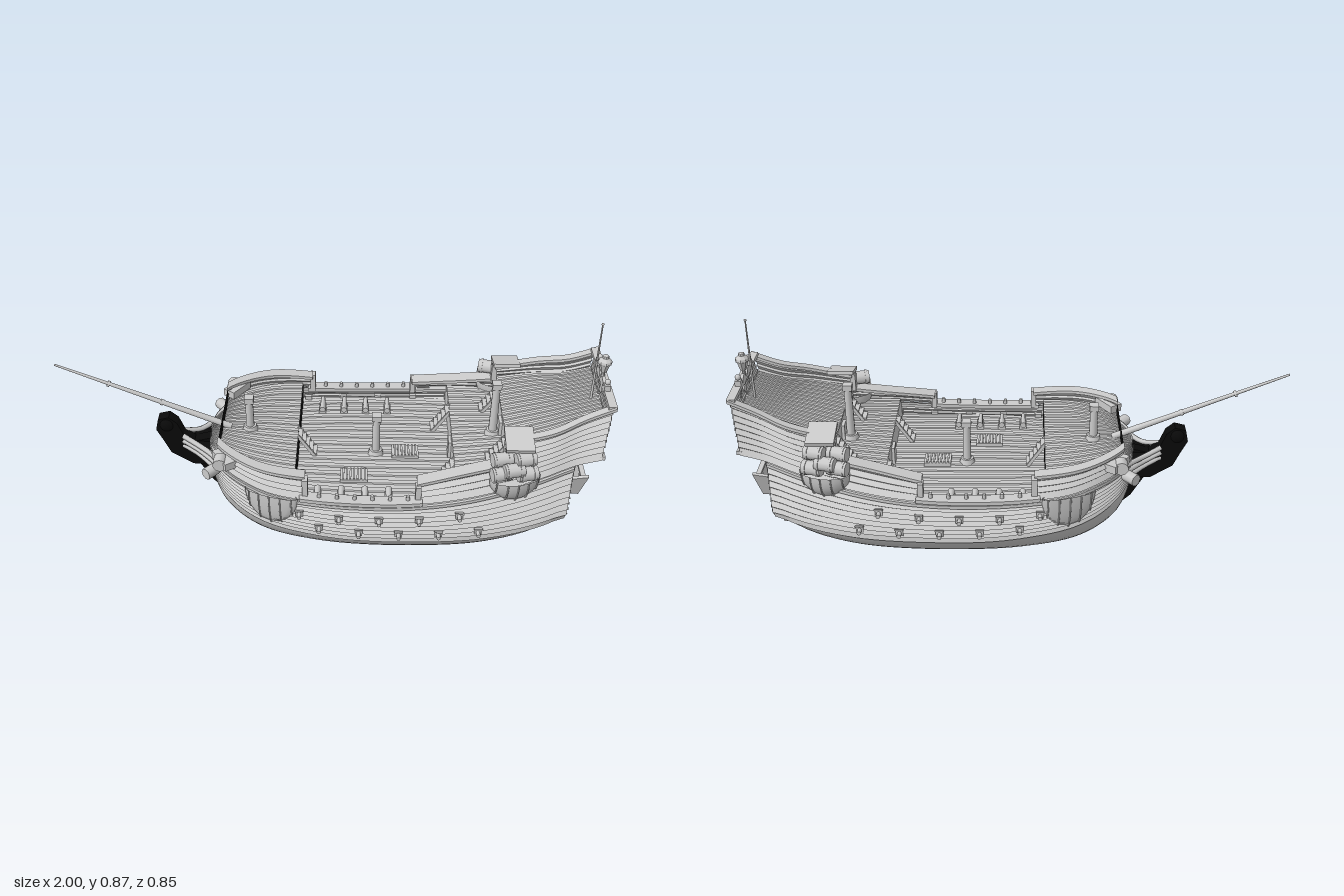
import * as THREE from 'three';
import { toCreasedNormals } from 'three/addons/utils/BufferGeometryUtils.js';

// Hull stations: x, keel height, height of widest point, half breadth, sheer height
const ST = [
  [-.45, .27, .34, .015, .385], [-.44, .22, .33, .09, .385], [-.42, .16, .32, .15, .38], [-.38, .105, .30, .215, .375],
  [-.3, .06, .27, .285, .365], [-.2, .035, .25, .335, .35], [-.05, .022, .235, .37, .34], [.1, .02, .225, .385, .335],
  [.3, .02, .225, .388, .34], [.5, .03, .23, .378, .36], [.65, .055, .24, .354, .38], [.75, .09, .25, .328, .40],
  [.85, .145, .26, .292, .42], [.97, .15, .26, .29, .45]];
const lerp = THREE.MathUtils.lerp, smooth = THREE.MathUtils.smoothstep;

// Smooth interpolation of one station column
function col(c, x) {
  let i = 0;
  while (i < ST.length - 2 && x > ST[i + 1][0]) i++;
  const a = ST[i], b = ST[i + 1], h = b[0] - a[0], t = THREE.MathUtils.clamp((x - a[0]) / h, 0, 1);
  const slope = k => { const p = ST[Math.max(0, k - 1)], q = ST[Math.min(ST.length - 1, k + 1)]; return (q[c] - p[c]) / (q[0] - p[0]); };
  const t2 = t * t, t3 = t2 * t;
  return (2 * t3 - 3 * t2 + 1) * a[c] + (t3 - 2 * t2 + t) * h * slope(i) + (3 * t2 - 2 * t3) * b[c] + (t3 - t2) * h * slope(i + 1);
}
const sheer = x => col(4, x);
// Half breadth at a point of the side, with tumblehome above the widest line
function half(x, y) {
  const yb = col(1, x), ym = col(2, x), B = col(3, x);
  if (y < ym) return B * Math.sqrt(Math.max(0, 1 - ((ym - y) / (ym - yb)) ** 2));
  const d = y - ym, k = lerp(.6, 2.1, smooth(x, -.3, .1));
  return Math.max(.005, B - lerp(k * d * d, Math.min(.4 * d, .037 + .17 * d), smooth(x, .4, .8)));
}
const rake = (x, y) => x + smooth(x, .6, .85) * .1 * (y - .25);
const P = (x, y, s, off = 0) => [rake(x, y), y, s * (half(x, y) + off)];

// Surface from a rule on a grid, with creased normals
function surf(nu, nv, fn) {
  const pos = [], idx = [];
  for (let i = 0; i <= nu; i++) for (let j = 0; j <= nv; j++) pos.push(...fn(i / nu, j));
  for (let i = 0; i < nu; i++) for (let j = 0; j < nv; j++) {
    const a = i * (nv + 1) + j, b = a + nv + 1;
    idx.push(a, b, a + 1, b, b + 1, a + 1);
  }
  const g = new THREE.BufferGeometry();
  g.setAttribute('position', new THREE.Float32BufferAttribute(pos, 3));
  g.setIndex(idx);
  return toCreasedNormals(g, .5);
}

export function createModel() {
  const ship = new THREE.Group();
  const grey = new THREE.MeshStandardMaterial({ color: 0xcccccc, side: THREE.DoubleSide });
  const black = new THREE.MeshStandardMaterial({ color: 0x0a0a0a, side: THREE.DoubleSide });
  const add = (geo, name, p = [0, 0, 0], r = [0, 0, 0], mat = grey) => {
    const m = new THREE.Mesh(geo, mat);
    m.name = name; m.position.set(...p); m.rotation.set(...r); ship.add(m);
    return m;
  };
  const box = (name, w, h, d, p, r, mat) => add(new THREE.BoxGeometry(w, h, d), name, p, r, mat);
  const cyl = (name, r0, r1, h, p, r, n = 10) => add(new THREE.CylinderGeometry(r0, r1, h, n), name, p, r);
  const tube = (name, pts, r) => add(new THREE.TubeGeometry(
    new THREE.CatmullRomCurve3(pts.map(p => new THREE.Vector3(...p))), 24, r, 6), name);
  const slab = (name, pts, depth, mat) => {
    const s = new THREE.Shape(pts.map(p => new THREE.Vector2(...p)));
    return add(new THREE.ExtrudeGeometry(s, { depth, bevelEnabled: false }).translate(0, 0, -depth / 2), name, undefined, undefined, mat);
  };
  // Lapped planking between two height lines of the side, with bevelled lower edges
  const planks = (name, x0, x1, lo, hi, n, s) => add(surf(56, 2 * n - 1, (u, j) => {
    const x = lerp(x0, x1, x0 < -.4 ? u ** 1.7 : u), v = (Math.ceil(j / 2) + (j % 2 || !j ? 0 : .28)) / n;
    return P(x, lerp(lo(x), hi(x), j % 2 ? v : Math.min(v, 1)), s, j % 2 ? 0 : .009);
  }), name);
  // Square moulding following the side
  const rail = (name, x0, x1, yf, w, h, s) => add(surf(40, 4, (u, j) => {
    const x = lerp(x0, x1, u), p = P(x, yf(x), s);
    return [p[0], p[1] + (j % 4 < 2 ? -h : h) / 2, p[2] + (j === 1 || j === 2 ? w : -w) / 2];
  }), name);
  // Deck of boards lying at alternating heights
  const deck = (name, x0, x1, yf) => add(surf(24, 63, (u, j) => {
    const x = lerp(x0, x1, u), k = (Math.ceil(j / 2) + (j % 2 || !j ? 0 : .15)) / 32.15;
    return [rake(x, yf(x)), yf(x) + (Math.floor(j / 2) % 2 ? .004 : 0), (2 * k - 1) * (half(x, yf(x)) - .004)];
  }), name);
  const bulkhead = (name, x, y0, y1, mat) => add(surf(8, 1, (u, j) => {
    const y = lerp(y0, y1, u); return [rake(x, y), y, (j ? 1 : -1) * (half(x, y) - .003)];
  }), name, undefined, undefined, mat);

  const foreTop = x => lerp(.455, .42, (x + .4) / .32), quarterTop = x => lerp(.405, .46, (x - .31) / .31);
  const poopTop = x => .53 + .105 * (Math.max(0, x - .62) / .32) ** 1.4;
  const wl = x => col(2, x) - .04;

  for (const s of [1, -1]) {
    // Hull shell
    add(surf(60, 12, (u, j) => {
      const x = lerp(-.45, .85, u ** 1.7), yb = col(1, x), y = yb + (wl(x) - yb) * (1 - Math.cos(j / 12 * Math.PI / 2));
      return P(x, y, s);
    }), 'bottom');
    planks('sidePlanking', -.45, .85, wl, sheer, 9, s);
    planks('forecastleBulwark', -.4, -.08, sheer, foreTop, 4, s);
    planks('quarterBulwark', .31, .62, sheer, quarterTop, 4, s);
    planks('poopSide', .62, .94, sheer, poopTop, 8, s);
    // Rails
    rail('forecastleRail', -.4, -.08, foreTop, .045, .012, s);
    rail('quarterRail', .31, .62, quarterTop, .055, .012, s);
    rail('poopRail', .62, .95, poopTop, .032, .012, s);
    rail('waistRail', -.1, .33, x => sheer(x) + .006, .048, .014, s);
    rail('wale', -.44, .85, x => sheer(x) - .012, .024, .012, s);
    const ends = [[-.08, .345, .42], [.315, .34, .405], [.62, .46, .53]];
    for (const [x, a, b] of ends) box('railEndPost', .02, b - a, .035, [x, (a + b) / 2, s * half(x, (a + b) / 2)]);
    // Two staggered rows of gun ports with lids and muzzles
    const port = (x, y) => {
      const z = half(x, y);
      box('gunPort', .026, .024, .022, [x, y, s * z]);
      box('portLid', .03, .005, .026, [x, y + .017, s * (z + .016)], [-s * .5, 0, 0]);
      cyl('gunMuzzle', .007, .008, .045, [x, y, s * (z + .012)], [Math.PI / 2, 0, 0], 8);
    };
    for (let i = 0; i < 5; i++) {
      const x = -.1 + i * .14;
      port(x, sheer(x) - .055);
      port(x + .07, col(2, x + .07) + .003);
    }
    // Rail blocks and deck guns in the waist
    for (let i = 0; i < 6; i++) { const x = -.03 + i * .062; cyl('railBlock', .007, .008, .02, [x, sheer(x) + .02, s * (half(x, .34) - .004)], undefined, 6); }
    for (let i = 0; i < 4; i++) {
      const x = -.04 + i * .085;
      box('gunCarriage', .028, .02, .05, [x, .293, s * .275]);
      cyl('deckGun', .008, .012, .085, [x, .308, s * .285], [s * Math.PI / 2, 0, 0], 8);
    }
    // Hanging nets and barrels
    for (const [x, y, w, h, d, turn] of [[-.2, .35, .1, .125, .022, -.32], [.65, .42, .092, .092, .05, .2]]) {
      const z = half(x, y - .04), bag = add(new THREE.SphereGeometry(1, 16, 8, 0, Math.PI * 2, Math.PI / 2, Math.PI / 2), 'hangingNet', [x, y, s * z], [0, -s * turn, 0]);
      bag.scale.set(w, h, d);
      bag.rotation.y = s * turn;
      for (let i = -2; i <= 2; i++) {
        const rope = a => { const q = i * .4, r = Math.sqrt(1 - q * q) * 1.03; return [q * w, -Math.sin(a) * r * h, s * Math.cos(a) * r * d]; };
        const m = tube('netRope', [0, .4, .8, 1.2, 1.5].map(rope), .003);
        m.position.copy(bag.position); m.rotation.copy(bag.rotation);
      }
    }
    for (const [x, y, z] of [[.6, .445, .32], [.69, .44, .31], [.6, .49, .295], [.68, .495, .3], [.64, .465, .325]]) {
      cyl('barrel', .026, .026, .07, [x, y, s * z], [0, s * .25, Math.PI / 2]);
      for (const d of [-.022, .022]) cyl('barrelHoop', .0285, .0285, .008, [x + d, y, s * (z - d * .25)], [0, s * .25, Math.PI / 2]);
    }
    box('channelLedge', .1, .014, .11, [.66, .542, s * .25], [s * .25, 0, 0]);
    // Bow: anchor beam, drum and head rails
    box('anchorBeam', .05, .03, .1, [-.37, .415, s * .225], [0, s * .6, 0]);
    cyl('anchorDrum', .025, .025, .045, [-.385, .415, s * .245], [Math.PI / 2, 0, 0]);
    for (let i = 0; i < 3; i++) tube('headRail', [[-.38, .375 - i * .03, s * (.215 - i * .01)], [-.43, .355 - i * .025, s * .125], [-.49, .345 - i * .02, s * .055], [-.55, .36 - i * .02, s * .02]], .01);
    cyl('bowRoll', .022, .022, .1, [-.41, .345, s * .19], [0, s * .85, Math.PI / 2], 8);
  }

  // Stern: lapped lower transom, overhanging counter, upper transom
  const transom = (name, x, y0, y1, n) => add(surf(12, 2 * n - 1, (u, j) => {
    const y = lerp(y0, y1, Math.ceil(j / 2) / n);
    return [rake(x, y) + (j % 2 ? 0 : .005), y, (2 * u - 1) * half(x, y)];
  }), name);
  transom('lowerTransom', .85, .147, .42, 14);
  transom('upperTransom', .94, sheer(.94), .635, 9);
  add(surf(6, 1, (u, j) => { const x = j ? .94 : .85, p = P(x, sheer(x), 1); return [p[0], p[1], p[2] * (2 * u - 1)]; }), 'counter');
  const sternX = y => rake(.94, y) + .004;
  box('taffrail', .03, .014, .39, [.977, .638, 0]);
  box('counterRail', .02, .014, .45, [.962, .447, 0]);
  for (let i = -2; i <= 2; i++) {
    const z = i * .066, h = .095 - Math.abs(i) * .008, y = .455 + h / 2;
    box('sternWindow', .012, h, .046, [sternX(y), y, z], [0, 0, -.1]);
    const arch = cyl('windowArch', .023, .023, .012, [sternX(.455 + h), .455 + h, z], [0, 0, Math.PI / 2], 12);
    arch.scale.x = .6;
    box('windowBar', .018, h, .004, [sternX(y), y, z], [0, 0, -.1]);
    box('windowSill', .024, .006, .054, [sternX(.452), .452, z]);
  }
  box('carvedDiamond', .014, .03, .03, [sternX(.595), .595, 0], [Math.PI / 4, 0, 0]);
  for (const s of [1, -1]) {
    for (const [z, y, r] of [[.035, .6, .012], [.062, .592, .011], [.078, .612, .008]])
      add(new THREE.TorusGeometry(r, .004, 6, 14, 5), 'carvedScroll', [sternX(y), y, s * z], [0, Math.PI / 2, 0]);
    box('taffrailPost', .022, .022, .024, [.972, .655, s * .083]);
    add(new THREE.SphereGeometry(.011, 10, 8), 'postBall', [.972, .676, s * .083]);
    const crest = cyl('taffrailCrest', .024, .024, .012, [.968, .645, s * .035], [0, 0, Math.PI / 2], 12);
    crest.scale.x = .8;
    box('galleryDoor', .012, .065, .068, [.866, .37, s * .1]);
    // Gallery end board, leaning outwards
    const end = slab('galleryEnd', [[.84, .25], [.908, .25], [.93, .355], [.855, .34]], .012);
    end.geometry.translate(0, -.3, 0);
    end.position.set(0, .3, s * .19); end.rotation.x = s * .3;
    for (const z of [.027, .083]) box('galleryStanchion', .012, .09, .01, [.885, .385, s * z]);
    for (const z of [.04, .075, .11]) box('galleryKnee', .03, .07, .01, [.862, .215, s * z], [0, 0, -.45]);
  }
  // Stern gallery
  box('galleryDoor', .012, .065, .068, [.866, .37, 0]);
  box('galleryFloor', .06, .012, .35, [.875, .255, 0]);
  add(surf(1, 1, (u, j) => [j ? .912 : .9, j ? .335 : .255, (2 * u - 1) * (j ? .196 : .175)]), 'galleryFront');
  box('galleryRail', .018, .01, .4, [.914, .337, 0]);
  for (let i = -2; i <= 2; i++) box('galleryRib', .014, .08, .012, [.908, .295, i * .08], [0, 0, -.15]);
  slab('rudder', [[.83, .02], [.885, .02], [.905, .19], [.875, .25], [.85, .25]], .028);
  for (const y of [.07, .13, .19]) box('rudderHinge', .06, .01, .034, [.86, y, 0]);
  box('sternPost', .02, .22, .042, [.846, .135, 0], undefined, black);
  // Keel, stem and figurehead
  slab('keel', [[-.55, .31], [-.5, .235], [-.45, .15], [-.38, .085], [-.3, .045], [-.2, .018], [0, .005], [.4, 0], [.83, .006],
    [.845, .17], [.75, .13], [.6, .07], [.3, .03], [-.1, .035], [-.25, .07], [-.36, .13], [-.42, .25], [-.43, .35]], .026, black);
  slab('figurehead', [[-.43, .23], [-.52, .235], [-.6, .285], [-.63, .35], [-.65, .39], [-.64, .435], [-.6, .445], [-.57, .42],
    [-.55, .37], [-.51, .34], [-.43, .36]], .045, black);
  add(new THREE.SphereGeometry(.035, 12, 8), 'figureheadCrown', [-.61, .41, 0], undefined, black);
  const beak = slab('beakPlatform', [[-.62, 0], [-.5, .045], [-.41, .14], [-.41, -.14], [-.5, -.045]], .03, black);
  beak.rotation.x = Math.PI / 2; beak.position.y = .325;
  // Bowsprit
  const tilt = Math.PI / 2 - Math.atan2(.26, .63);
  cyl('bowsprit', .004, .013, .68, [-.685, .526, 0], [0, 0, tilt]);
  for (const t of [.15, .4, .7]) cyl('spritBand', .012, .012, .01, [lerp(-.37, -1, t), lerp(.396, .655, t), 0], [0, 0, tilt]);

  // Decks and bulkheads
  deck('beakDeck', -.445, -.4, () => .37);
  deck('forecastleDeck', -.4, -.12, x => lerp(.395, .375, (x + .4) / .28));
  deck('waistDeck', -.13, .46, () => .283);
  deck('quarterDeck', .45, .64, x => lerp(.375, .39, (x - .45) / .19));
  deck('poopDeck', .63, .94, x => lerp(.465, .56, (x - .63) / .31));
  bulkhead('beakBulkhead', -.4, .365, .45, black);
  bulkhead('forecastleBulkhead', -.12, .283, .375, black);
  bulkhead('quarterBulkhead', .45, .283, .375);
  bulkhead('poopBulkhead', .63, .385, .465);
  // Ladders, doors, hatches
  const ladder = (x, y, z, h, dir) => {
    for (const e of [-.028, .028]) box('ladderSide', .012, h * 1.2, .006, [x + dir * .03, y + h / 2, z + e], [0, 0, dir * .6]);
    for (let i = 0; i < 5; i++) box('ladderStep', .018, .006, .056, [x + dir * .06 * (1 - i / 4.5), y + h * (i + .5) / 5, z]);
  };
  ladder(-.12, .283, 0, .095, 1);
  for (const s of [1, -1]) { ladder(.45, .283, s * .17, .095, -1); ladder(.63, .385, s * .16, .085, -1); }
  box('cabinDoor', .012, .07, .05, [.445, .32, 0]);
  box('poopDoor', .012, .06, .05, [.625, .42, 0]);
  for (const [x, z] of [[.09, .15], [.28, 0]]) {
    box('hatchCoaming', .1, .016, .07, [x, .29, z]);
    for (let i = -3; i <= 3; i++) box('hatchBar', .006, .006, .066, [x + i * .013, .3, z]);
  }
  // Mast stumps
  for (const [x, y0, y1] of [[-.3, .385, .53], [.17, .283, .46], [.6, .385, .61]]) {
    cyl('mast', .014, .016, y1 - y0, [x, (y0 + y1) / 2, 0]);
    cyl('mastCollar', .024, .03, .02, [x, y0 + .01, 0]);
    box('mastCap', .034, .022, .034, [x, y1 - .011, 0]);
  }
  // Stern lantern and flagpole
  const lamp = [[0, .645], [.008, .645], [.006, .662], [.012, .668], [.022, .7], [.026, .703], [.024, .713], [.012, .724], [.011, .732], [0, .736]];
  const lantern = new THREE.LatheGeometry(lamp.map(p => new THREE.Vector2(...p)), 8);
  add(toCreasedNormals(lantern, .3), 'sternLantern', [.972, 0, 0]);
  cyl('flagpole', .0025, .005, .31, [.943, .705, 0], undefined, 8);
  add(new THREE.SphereGeometry(.005, 8, 6), 'flagpoleKnob', [.943, .86, 0]);
  return ship;
}
